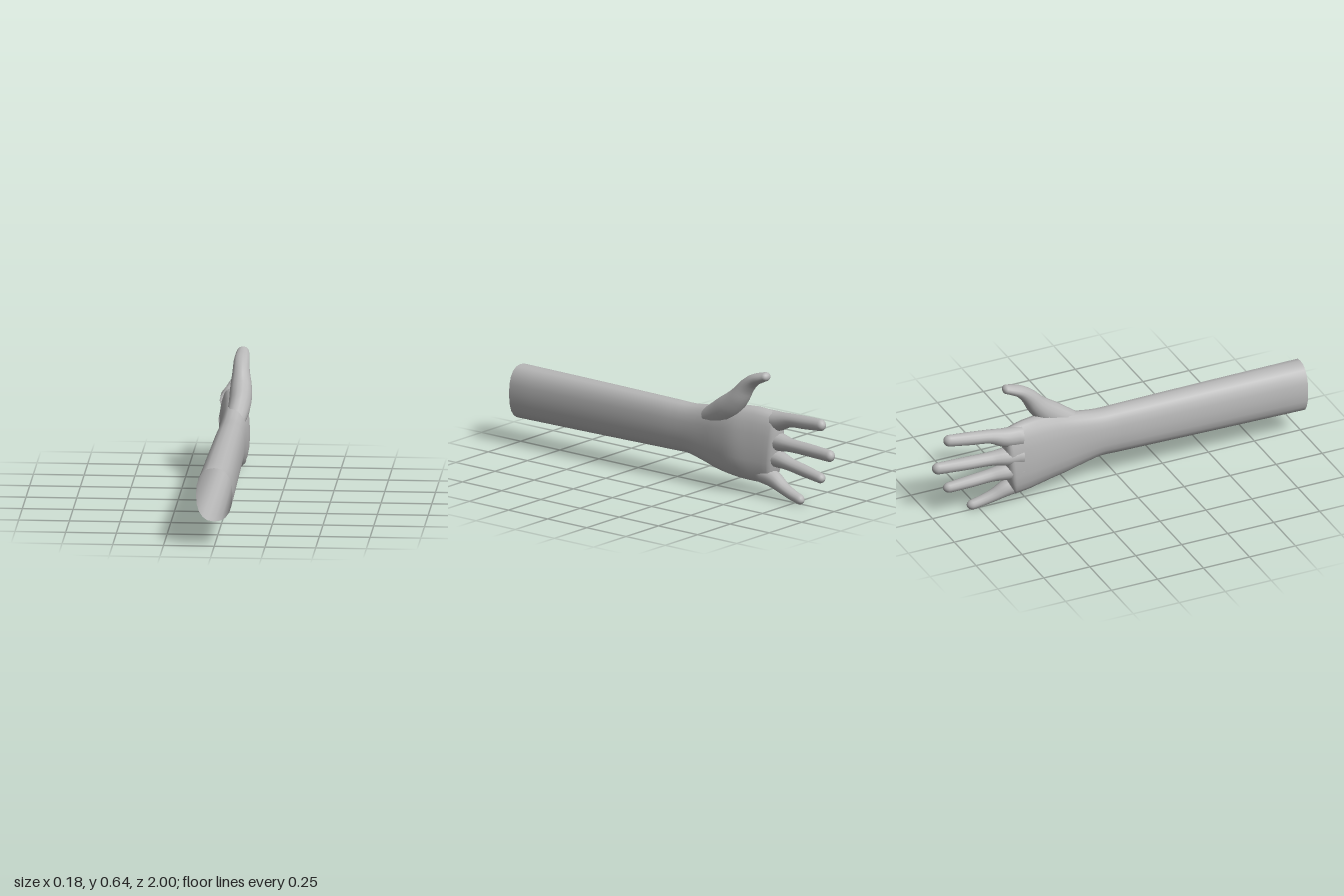
import * as THREE from 'three';

const skin = new THREE.MeshStandardMaterial({ color: 0xb8b8b8, side: THREE.DoubleSide });
skin.name = 'grey skin';

// Lofts rounded rings along a path. Each row: x, y, z, half width across x, half height, in order.
// power above 2 squares the ring; tip is the length of the rounded end.
function limb(name, rows, { sides = 14, steps = 4, power = 2, tip = 0.03 } = {}) {
  const path = new THREE.CatmullRomCurve3(rows.map(r => new THREE.Vector3(r[0], r[1], r[2])));
  const size = new THREE.CatmullRomCurve3(rows.map(r => new THREE.Vector3(r[3], r[4], r[2])));
  const positions = [], index = [];
  let rings = 0;

  const addRing = (c, t, w, h) => {
    const up = new THREE.Vector3(0, -t.z, t.y).normalize();
    for (let j = 0; j < sides; j++) {
      const a = (j / sides) * Math.PI * 2;
      const round = v => Math.sign(v) * Math.pow(Math.abs(v), 2 / power);
      const u = w * round(Math.cos(a)), v = h * round(Math.sin(a));
      positions.push(c.x + u, c.y + up.y * v, c.z + up.z * v);
    }
    rings++;
  };

  const n = (rows.length - 1) * steps;
  for (let i = 0; i <= n; i++) {
    const s = size.getPoint(i / n);
    addRing(path.getPoint(i / n), path.getTangent(i / n), s.x, s.y);
  }
  // Rounded end
  const end = path.getPoint(1), dir = path.getTangent(1), last = size.getPoint(1);
  for (let k = 1; k <= 5; k++) {
    const a = (k / 5) * Math.PI * 0.498;
    const c = end.clone().addScaledVector(dir, tip * Math.sin(a));
    addRing(c, dir, last.x * Math.cos(a), last.y * Math.cos(a));
  }
  for (let i = 0; i < rings - 1; i++) {
    for (let j = 0; j < sides; j++) {
      const a = i * sides + j, b = i * sides + (j + 1) % sides;
      index.push(a, a + sides, b, b, a + sides, b + sides);
    }
  }
  const g = new THREE.BufferGeometry();
  g.setAttribute('position', new THREE.Float32BufferAttribute(positions, 3));
  g.setIndex(index);
  g.computeVertexNormals();
  const mesh = new THREE.Mesh(g, skin);
  mesh.name = name;
  return mesh;
}

// Section from its limits: z, bottom, top, right edge, left edge
const section = ([z, lo, hi, x0, x1]) =>
  [(x0 + x1) / 2, (lo + hi) / 2, z, (x1 - x0) / 2, (hi - lo) / 2];

export function createModel() {
  const group = new THREE.Group();
  group.name = 'arm';

  // Hollow forearm, open at the elbow end, widening into the palm
  group.add(limb('forearmAndPalm', [
    [1, 0.13, 0.4, -0.09, 0.09],
    [0.5, 0.136, 0.4, -0.08, 0.083],
    [0, 0.143, 0.398, -0.07, 0.075],
    [-0.1, 0.143, 0.398, -0.066, 0.073],
    [-0.2, 0.12, 0.412, -0.064, 0.074],
    [-0.3, 0.093, 0.43, -0.066, 0.078],
    [-0.4, 0.076, 0.446, -0.075, 0.075],
    [-0.5, 0.065, 0.45, -0.085, 0.052],
    [-0.59, 0.06, 0.436, -0.088, 0.026],
  ].map(section), { sides: 20, power: 2.35, tip: 0.035 }));

  // Thumb with its fleshy base
  group.add(limb('thumb', [
    [0.015, 0.355, -0.21, 0.05, 0.045],
    [0.03, 0.42, -0.34, 0.056, 0.066],
    [0.03, 0.488, -0.415, 0.053, 0.053],
    [0.027, 0.55, -0.462, 0.043, 0.041],
    [0.026, 0.594, -0.51, 0.039, 0.031],
    [0.027, 0.614, -0.555, 0.035, 0.026],
    [0.027, 0.625, -0.585, 0.029, 0.023],
  ], { tip: 0.021 }));

  // Four fingers
  const fingers = {
    indexFinger: [
      [-0.035, 0.385, -0.54, 0.05, 0.054],
      [-0.035, 0.392, -0.62, 0.047, 0.049],
      [-0.025, 0.412, -0.7, 0.037, 0.035],
      [-0.015, 0.421, -0.8, 0.034, 0.033],
      [-0.004, 0.43, -0.91, 0.028, 0.03],
    ],
    middleFinger: [
      [-0.04, 0.285, -0.54, 0.052, 0.056],
      [-0.038, 0.285, -0.62, 0.049, 0.046],
      [-0.026, 0.285, -0.7, 0.038, 0.034],
      [-0.015, 0.285, -0.83, 0.035, 0.032],
      [0, 0.284, -0.97, 0.028, 0.03],
    ],
    ringFinger: [
      [-0.036, 0.203, -0.54, 0.05, 0.053],
      [-0.034, 0.198, -0.62, 0.046, 0.043],
      [-0.022, 0.188, -0.7, 0.036, 0.032],
      [-0.012, 0.175, -0.8, 0.033, 0.03],
      [0, 0.161, -0.91, 0.027, 0.026],
    ],
    littleFinger: [
      [-0.02, 0.112, -0.52, 0.045, 0.047],
      [-0.018, 0.095, -0.6, 0.042, 0.043],
      [-0.01, 0.064, -0.67, 0.034, 0.031],
      [-0.002, 0.043, -0.73, 0.029, 0.027],
      [0.003, 0.03, -0.78, 0.026, 0.025],
    ],
  };
  for (const [name, rows] of Object.entries(fingers)) group.add(limb(name, rows));

  return group;
}
